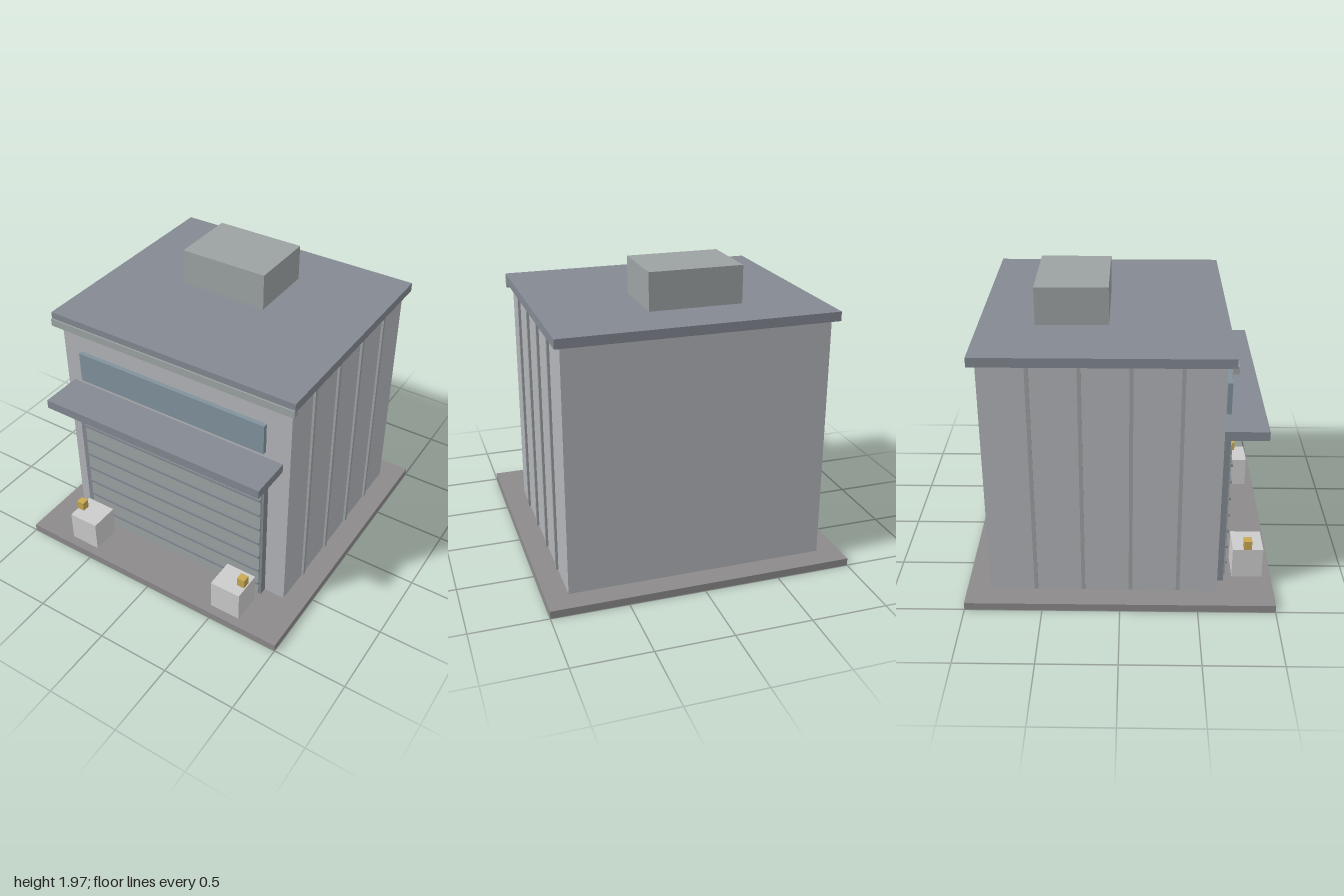
import * as THREE from 'three';

const material = (color) => new THREE.MeshStandardMaterial({ color, flatShading: true });

export function createModel() {
  const model = new THREE.Group();
  const wallGrey = material(0xb2b4b8);
  const trimGrey = material(0x838992);
  const panelGrey = material(0x9ca2a2);
  const concrete = material(0xc5c6c4);
  const glass = material(0x80929c);
  const amber = material(0xc8a850);

  // Box given by its extents along each axis
  function box(name, mat, [x0, x1], [y0, y1], [z0, z1], parent = model) {
    const mesh = new THREE.Mesh(new THREE.BoxGeometry(x1 - x0, y1 - y0, z1 - z0), mat);
    mesh.position.set((x0 + x1) / 2, (y0 + y1) / 2, (z0 + z1) / 2);
    mesh.name = name;
    parent.add(mesh);
    return mesh;
  }

  function group(name) {
    const g = new THREE.Group();
    g.name = name;
    model.add(g);
    return g;
  }

  // Ground slab, main volume and roof
  box('baseSlab', material(0x8c8a8a), [-1, 1], [0, 0.05], [-1, 1]);
  box('building', wallGrey, [-0.85, 0.85], [0.05, 1.665], [-0.845, 0.63]);
  box('roof', trimGrey, [-0.89, 0.89], [1.665, 1.725], [-0.89, 0.68]);
  box('frontFascia', panelGrey, [-0.89, 0.89], [1.63, 1.68], [0.65, 0.69]);
  box('rooftopUnit', panelGrey, [-0.385, 0.225], [1.725, 1.97], [-0.535, -0.075]);

  // Vertical ribs on both side walls
  const ribs = group('wallRibs');
  for (const [x0, x1] of [[-0.857, -0.835], [0.84, 0.866]]) {
    for (let i = 0; i < 4; i++) {
      const z = 0.375 - i * 0.307;
      box('wallRib', panelGrey, [x0, x1], [0.06, 1.665], [z - 0.012, z + 0.012], ribs);
    }
  }

  // Upper window and awning
  box('window', glass, [-0.692, 0.692], [1.27, 1.48], [0.65, 0.68]);
  box('awning', trimGrey, [-0.8, 0.8], [1.145, 1.205], [0.63, 0.91]);

  // Door frame
  const frame = group('doorFrame');
  box('leftPost', trimGrey, [0.66, 0.705], [0.05, 1.05], [0.63, 0.68], frame);
  box('rightPost', trimGrey, [-0.74, -0.692], [0.05, 1.05], [0.63, 0.68], frame);
  box('header', trimGrey, [-0.74, 0.705], [1.05, 1.11], [0.63, 0.68], frame);

  // Roller door with raised slat seams
  const door = group('rollerDoor');
  box('doorPanel', panelGrey, [-0.692, 0.692], [0.06, 1.05], [0.65, 0.695], door);
  for (let i = 0; i < 7; i++) {
    const y = 0.163 + i * 0.1237;
    box('doorSlat', trimGrey, [-0.692, 0.692], [y - 0.008, y + 0.008], [0.69, 0.707], door);
  }

  // Concrete blocks with warning lamps beside the entrance
  for (const side of [-1, 1]) {
    const post = group(side > 0 ? 'leftBarrier' : 'rightBarrier');
    const x = side * 0.585;
    const lampX = side * 0.662 - 0.005;
    box('block', concrete, [x - 0.107, x + 0.107], [0.05, 0.265], [0.74, 0.94], post);
    box('lamp', amber, [lampX - 0.027, lampX + 0.027], [0.265, 0.33], [0.812, 0.864], post);
  }

  return model;
}
